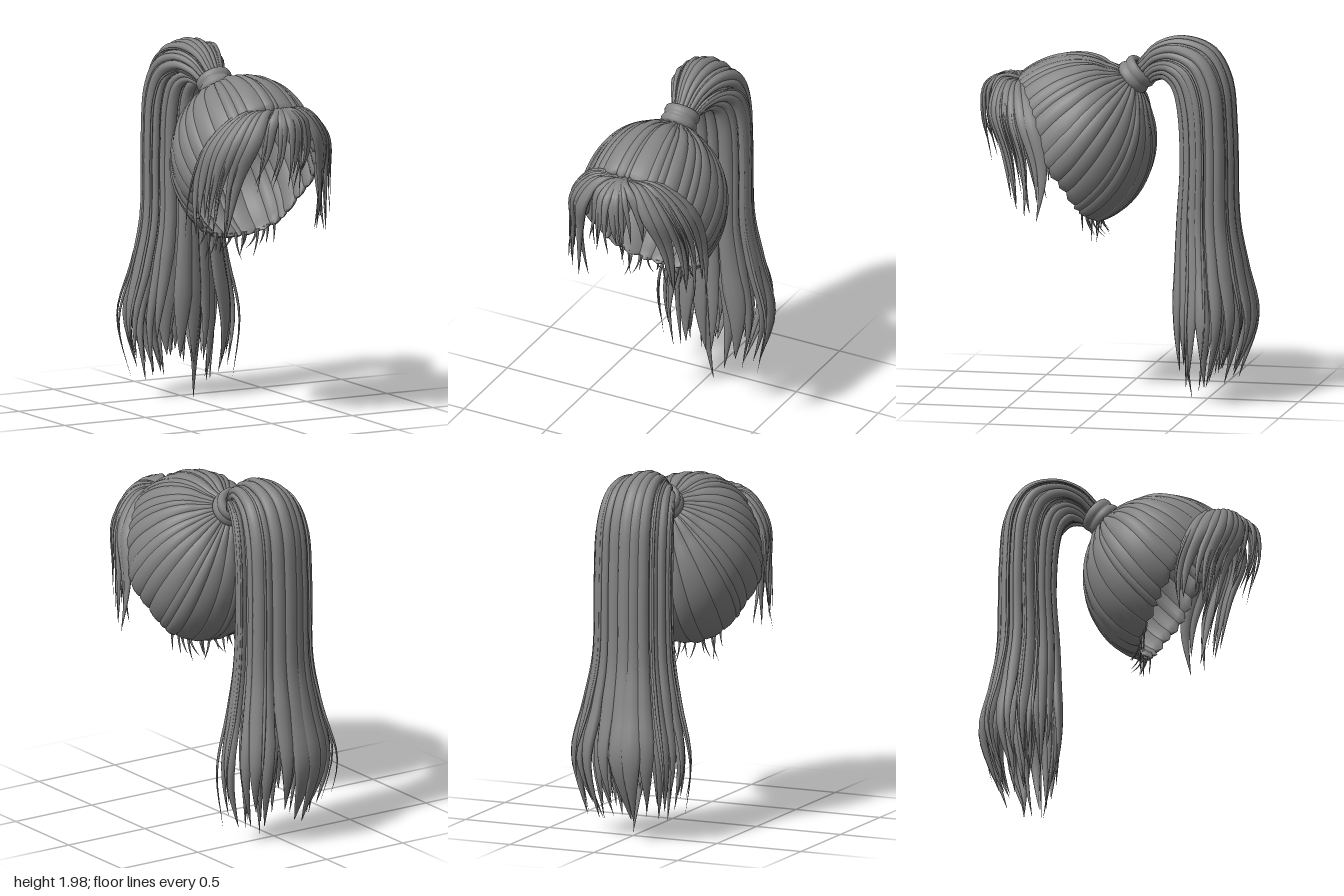
import * as THREE from 'three';
import { mergeGeometries } from 'three/addons/utils/BufferGeometryUtils.js';

const V = (x, y, z) => new THREE.Vector3(x, y, z);
const curve = (pts, closed = false) => new THREE.CatmullRomCurve3(pts.map(p => V(...p)), closed);
const clamp = t => Math.min(1, Math.max(0, t));

// Small seeded generator
let seed = 7;
const rnd = (a = 0, b = 1) => {
  seed = (seed * 16807) % 2147483647;
  return a + (b - a) * seed / 2147483647;
};

// Flattened tube that lies on surf(u, t), running along t and spanning u - du .. u + du
function strand(surf, u, du, thick, { from = 0, to = 1, taper, segs = 26, sides = 8 }) {
  const pos = [], index = [];
  for (let i = 0; i <= segs; i++) {
    const f = i / segs, t = from + (to - from) * f, e = 0.01;
    const a = surf(u - du, t), b = surf(u + du, t);
    const c = surf(u, t).lerp(a.clone().lerp(b, 0.5), 0.5);
    const T = surf(u, Math.min(1, t + e)).sub(surf(u, Math.max(0, t - e)));
    const W = b.sub(a).multiplyScalar(0.5 * taper(f));
    const N = T.cross(W).normalize().multiplyScalar(Math.min(thick * taper(f), W.length() * 0.9));
    for (let j = 0; j < sides; j++) {
      const p = j / sides * Math.PI * 2;
      const q = c.clone().addScaledVector(W, Math.cos(p)).addScaledVector(N, Math.sin(p));
      pos.push(q.x, q.y, q.z);
      if (i < segs) {
        const k = i * sides + j, l = i * sides + (j + 1) % sides;
        index.push(k, l, l + sides, k, l + sides, k + sides);
      }
    }
  }
  const g = new THREE.BufferGeometry();
  g.setAttribute('position', new THREE.Float32BufferAttribute(pos, 3));
  g.setIndex(index);
  g.computeVertexNormals();
  return g;
}

const blunt = f => Math.max(0.02, Math.min(1, Math.sqrt((1 - f) * 26)));
const pointed = len => f => Math.max(0.02, Math.min(1, Math.pow((1 - f) / len, 0.75)));

// Scalp hair: strands run from the tie over an egg-shaped head to the hairline
const C = V(0, 1.42, 0.18);
const toUnit = p => V(p.x / 0.385, (p.y - C.y) / 0.44, (p.z - C.z) / (p.z > C.z ? 0.45 : 0.37));
const half = [[0.14, 1.71, 0.535], [0.26, 1.61, 0.48], [0.345, 1.45, 0.395], [0.37, 1.27, 0.305],
  [0.325, 1.19, 0.25], [0.26, 1.07, 0.19], [0.15, 0.99, 0.13]];
const hairline = curve([[0, 1.74, 0.55], ...half, [0, 0.97, 0.11],
  ...half.map(([x, y, z]) => [-x, y, z]).reverse()], true);
const pole = toUnit(V(0, 1.77, -0.09));

function scalp(u, t) {
  const end = toUnit(hairline.getPointAt(((u % 1) + 1) % 1));
  const a = pole.clone().normalize(), b = end.clone().normalize();
  const w = a.angleTo(b), s = Math.sin(w);
  const d = a.multiplyScalar(Math.sin((1 - t) * w) / s).addScaledVector(b, Math.sin(t * w) / s);
  const m = t < 0.25 ? THREE.MathUtils.lerp(pole.length(), 1, t * 4)
    : THREE.MathUtils.lerp(1, end.length(), (t - 0.25) / 0.75);
  d.multiplyScalar(m * 0.975);
  return V(d.x * 0.385, d.y * 0.44, d.z * (d.z > 0 ? 0.45 : 0.37)).add(C);
}

function scalpHair() {
  const widths = Array.from({ length: 34 }, () => rnd(0.3, 1.6));
  const total = widths.reduce((a, b) => a + b);
  let u = 0;
  return widths.map(w => {
    const du = w / total / 2;
    u += du * 2;
    return strand(scalp, u - du, du * 1.15 + 0.003, rnd(0.016, 0.027), { from: 0.06, taper: blunt, segs: 32 });
  });
}

// Fine hairs under the nape
function napeWisps() {
  return Array.from({ length: 16 }, (_, i) => {
    const root = hairline.getPointAt(0.4 + 0.2 * (i + rnd()) / 16);
    const len = rnd(0.05, 0.13), bx = rnd(-0.04, 0.04), bz = rnd(-0.07, 0.02);
    const surf = (u, t) => V(root.x + u + bx * t * t, root.y + 0.03 - (len + 0.03) * t, root.z - 0.01 + bz * t * t + u * 0.4);
    return strand(surf, 0, 0.008, 0.005, { taper: pointed(0.9), segs: 8, sides: 5 });
  });
}

// Ponytail: x is the half width, outer and inner curves bound its depth
const outer = curve([[0.06, 1.85, -0.12], [0.1, 1.945, -0.22], [0.145, 1.98, -0.36], [0.185, 1.93, -0.52],
  [0.205, 1.78, -0.61], [0.21, 1.5, -0.64], [0.22, 1.0, -0.655], [0.265, 0.75, -0.7], [0.33, 0.46, -0.755], [0.25, 0.12, -0.64]]);
const inner = curve([[0.06, 1.73, -0.18], [0.1, 1.76, -0.22], [0.145, 1.77, -0.27], [0.185, 1.72, -0.32],
  [0.205, 1.6, -0.35], [0.21, 1.3, -0.365], [0.22, 1.0, -0.345], [0.265, 0.75, -0.335], [0.33, 0.42, -0.325], [0.25, 0.01, -0.37]]);

function ponytail() {
  const list = [];
  const add = (theta, rho, du, thick, to) => {
    const sx = rnd(-0.05, 0.05), sz = rnd(-0.04, 0.04);
    const surf = (u, t) => {
      const o = outer.getPoint(clamp(t)), n = inner.getPoint(clamp(t));
      const p = n.lerp(o, 0.5 + 0.5 * rho * Math.sin(u));
      p.x *= rho * Math.cos(u);
      const k = Math.pow(t, 8);
      return p.add(V(sx * k, 0, sz * k));
    };
    list.push(strand(surf, theta, du, thick, { to, taper: pointed(rnd(0.1, 0.2)), segs: 44 }));
  };
  for (const [n, rho, thick] of [[20, 0.97, 0.026], [13, 0.68, 0.028], [7, 0.34, 0.028]])
    for (let i = 0; i < n; i++) {
      const theta = (i + rnd(-0.25, 0.25)) / n * Math.PI * 2;
      const front = Math.sin(theta) < -0.3 ? rnd(0, 0.08) : 0;
      add(theta, rho * rnd(0.91, 1.04), Math.PI / n * rnd(0.85, 1.5), thick, rnd(0.94, 1) - front);
    }
  // Longest lock and a few loose thin strands
  add(-Math.PI / 2, 0.9, 0.16, 0.02, 1);
  for (const a of [0.1, 0.9, 2.4, 3.1, 3.5, 5.9]) add(a, 1.06, 0.04, 0.008, rnd(0.93, 0.99));
  return list;
}

// Fringe: a swept lock on each side and wisps in the middle
const lockBack = curve([[0.01, 1.73, 0.52], [0.19, 1.7, 0.46], [0.335, 1.54, 0.375], [0.375, 1.28, 0.295], [0.385, 0.99, 0.31]]);
const lockFront = curve([[0.01, 1.735, 0.55], [0.09, 1.735, 0.62], [0.17, 1.6, 0.66], [0.225, 1.38, 0.585], [0.265, 1.03, 0.5]]);

function sideLock(side) {
  const list = [];
  const add = (u0, du, thick, to, out) => {
    const cx = rnd(-0.04, 0.04), cz = rnd(-0.03, 0.06);
    const surf = (u, t) => {
      const p = lockBack.getPoint(clamp(t)).lerp(lockFront.getPoint(clamp(t)), u);
      const b = 4 * u * (1 - u) * Math.sin(Math.PI * Math.min(1, t * 0.85)) + out * t;
      const k = t ** 4;
      p.add(V(0.045 * b + cx * k, 0.01 * b, 0.035 * b + cz * k));
      p.x *= side;
      return p;
    };
    list.push(strand(surf, u0, du, thick, { to, taper: pointed(rnd(0.35, 0.5)) }));
  };
  for (let i = 0; i < 7; i++) add((i + 0.5) / 7, 0.1 * rnd(0.85, 1.35), 0.022, rnd(0.86, 1), 0);
  for (let i = 0; i < 5; i++) add(rnd(0, 0.9), 0.022, 0.007, rnd(0.75, 1), rnd(0.2, 0.8));
  return list;
}

function middleWisps() {
  return Array.from({ length: 10 }, (_, i) => {
    const x = -0.15 + 0.033 * i + rnd(-0.015, 0.015), d = 0.12 * Math.abs(x) / 0.15 + rnd(0, 0.03);
    const path = curve([[0, 1.73, 0.53], [x * 0.35, 1.75, 0.63], [x * 0.75, 1.69, 0.745 - d * 0.6],
      [x, 1.52, 0.775 - d], [x * 1.15 + rnd(-0.04, 0.04), rnd(1.27, 1.42), 0.73 - d]]);
    const surf = (u, t) => path.getPoint(clamp(t)).add(V(u * (0.5 + Math.sin(t * 3)), 0, -u * x * 3));
    return strand(surf, 0, rnd(0.008, 0.02), 0.012, { taper: pointed(0.5), segs: 20 });
  });
}

// Hair tie with two soft bulges
function hairTie() {
  const profile = [[0.055, -0.055], [0.088, -0.055], [0.1, -0.04], [0.102, -0.022], [0.095, -0.005],
    [0.09, 0.0], [0.096, 0.008], [0.1, 0.025], [0.096, 0.045], [0.084, 0.055], [0.055, 0.05], [0.055, -0.055]];
  const g = new THREE.LatheGeometry(profile.map(p => new THREE.Vector2(...p)), 32);
  g.applyQuaternion(new THREE.Quaternion().setFromUnitVectors(V(0, 1, 0), V(0, 0.66, -0.75).normalize()));
  return g.translate(0, 1.78, -0.108);
}

export function createModel() {
  seed = 7;
  const group = new THREE.Group();
  const material = new THREE.MeshStandardMaterial({ color: 0x858585, side: THREE.DoubleSide });
  const parts = {
    scalpHair: scalpHair(), napeWisps: napeWisps(), ponytail: ponytail(), hairTie: [hairTie()],
    leftSideLock: sideLock(1), rightSideLock: sideLock(-1), middleFringe: middleWisps(),
  };
  for (const [name, list] of Object.entries(parts)) {
    const mesh = new THREE.Mesh(mergeGeometries(list), material);
    mesh.name = name;
    group.add(mesh);
  }
  return group;
}
